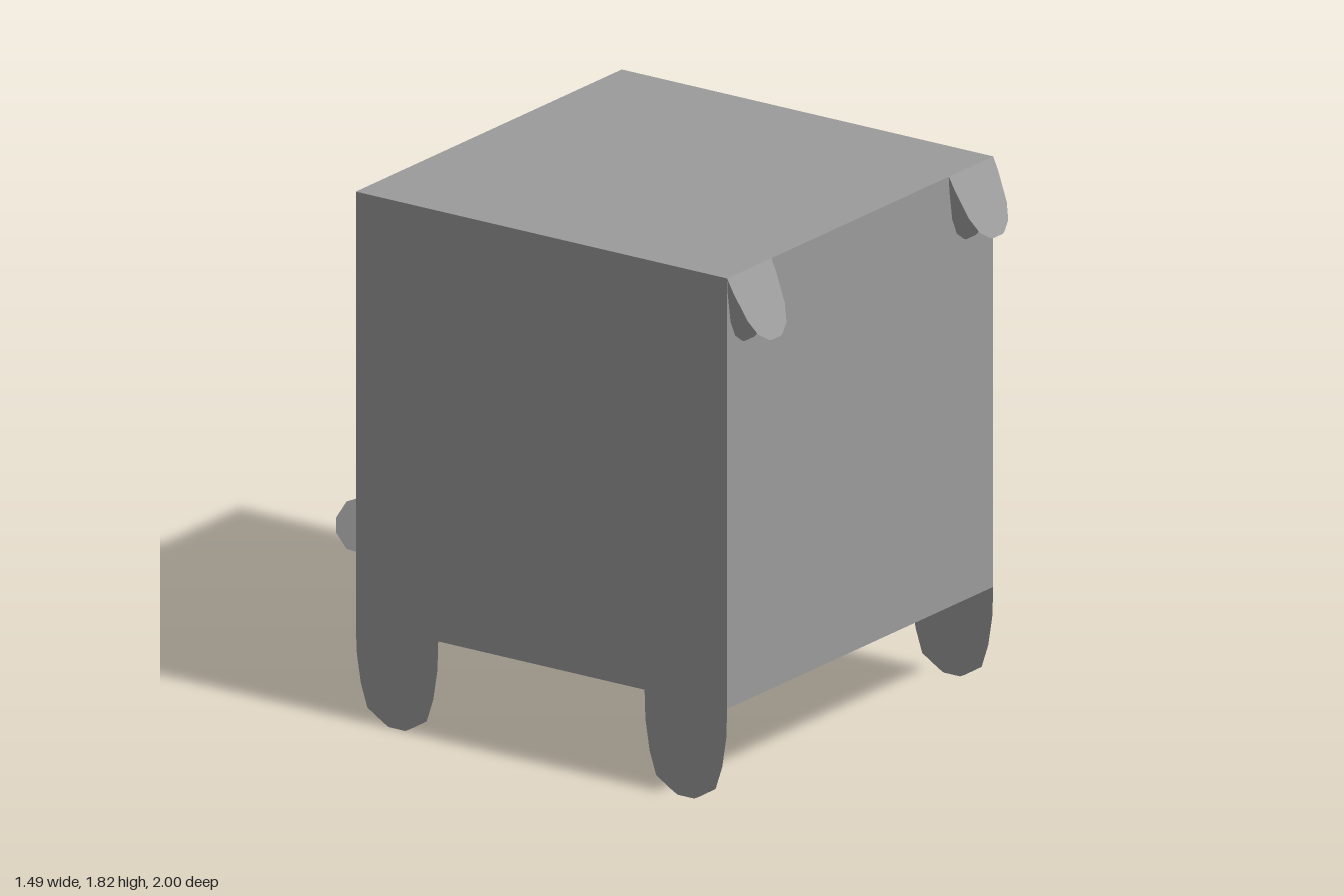
import * as THREE from 'three';

const W = 0.745, BOTTOM = 0.335, TOP = 1.818, FRONT = 0.893, BACK = -0.592;

// Half outlines of the rounded tabs: [distance along, half width], both 0..1
const LEG = [[0, 1], [0.3, 0.98], [0.61, 0.88], [0.85, 0.72], [0.97, 0.32], [1, 0.2]];
const EAR = [[0, 1], [0.2, 0.98], [0.63, 0.85], [0.86, 0.64], [0.98, 0.32], [1, 0.22]];
const TAIL = [[0, 1], [0.3, 0.995], [0.51, 0.97], [0.79, 0.85], [0.93, 0.67], [1, 0.2]];

// Tab outline growing down from (cx, cy), from its +x corner to its -x corner
function tabDown(profile, cx, cy, half, length) {
  const right = profile.map(([u, w]) => new THREE.Vector2(cx + w * half, cy - u * length));
  const left = profile.map(([u, w]) => new THREE.Vector2(cx - w * half, cy - u * length));
  return [...right, ...left.reverse()];
}

// Tab outline growing along +x from (cx, cy), from its upper to its lower corner
function tabAcross(profile, cx, cy, half, length) {
  const upper = profile.map(([u, w]) => new THREE.Vector2(cx + u * length, cy + w * half));
  const lower = profile.map(([u, w]) => new THREE.Vector2(cx + u * length, cy - w * half));
  return [...upper, ...lower.reverse()];
}

export function createModel() {
  const group = new THREE.Group();
  const material = new THREE.MeshStandardMaterial({ color: 0x9b9b9b, side: THREE.DoubleSide });
  const v = (x, y) => new THREE.Vector2(x, y);

  function sheet(name, points, position, rx = 0, ry = 0) {
    const mesh = new THREE.Mesh(new THREE.ShapeGeometry(new THREE.Shape(points)), material);
    mesh.name = name;
    mesh.position.set(...position);
    mesh.rotation.set(rx, ry, 0);
    group.add(mesh);
  }

  // Top panel
  sheet('topPanel', [v(-W, -FRONT), v(W, -FRONT), v(W, -BACK), v(-W, -BACK)],
    [0, TOP, 0], -Math.PI / 2);

  // Side panels, each with two rounded legs
  const legHalf = 0.165;
  for (const s of [1, -1]) {
    const outline = [
      v(BACK, TOP), v(FRONT, TOP),
      ...tabDown(LEG, FRONT - legHalf, BOTTOM, legHalf, BOTTOM),
      ...tabDown(LEG, BACK + legHalf, BOTTOM, legHalf, BOTTOM),
    ].map((p) => v(-s * p.x, p.y));
    sheet(s > 0 ? 'leftSideAndLegs' : 'rightSideAndLegs', outline, [s * W, 0, 0], 0, s * Math.PI / 2);
  }

  // Front panel with ear cut-outs in the upper corners
  const earHalf = 0.124, earLength = 0.243, earX = W - earHalf;
  sheet('frontPanel', [
    v(-W, BOTTOM), v(W, BOTTOM),
    ...tabDown(EAR, earX, TOP, earHalf, earLength),
    ...tabDown(EAR, -earX, TOP, earHalf, earLength),
  ], [0, 0, FRONT]);

  // Ears folded out from the top edge
  for (const s of [1, -1]) {
    sheet(s > 0 ? 'leftEar' : 'rightEar', tabDown(EAR, 0, 0, earHalf, earLength),
      [s * earX, TOP, FRONT], -0.456);
  }

  // Back panel with the tail cut-out at its lower edge
  const tailHalf = 0.122, tailLength = 0.498, tailY = BOTTOM + tailHalf;
  const notch = tabAcross(TAIL, 0, tailY, tailHalf, tailLength);
  notch[notch.length - 1].x += 0.002;
  sheet('backPanel', [
    v(W, BOTTOM), v(W, TOP), v(-W, TOP), v(-W, BOTTOM), v(0, BOTTOM), ...notch,
  ], [0, 0, BACK], 0, Math.PI);

  // Tail folded out 55 degrees from the middle of the back
  sheet('tail', tabAcross(TAIL, 0, 0, tailHalf, tailLength),
    [0, tailY, BACK], 0, THREE.MathUtils.degToRad(125));

  return group;
}
